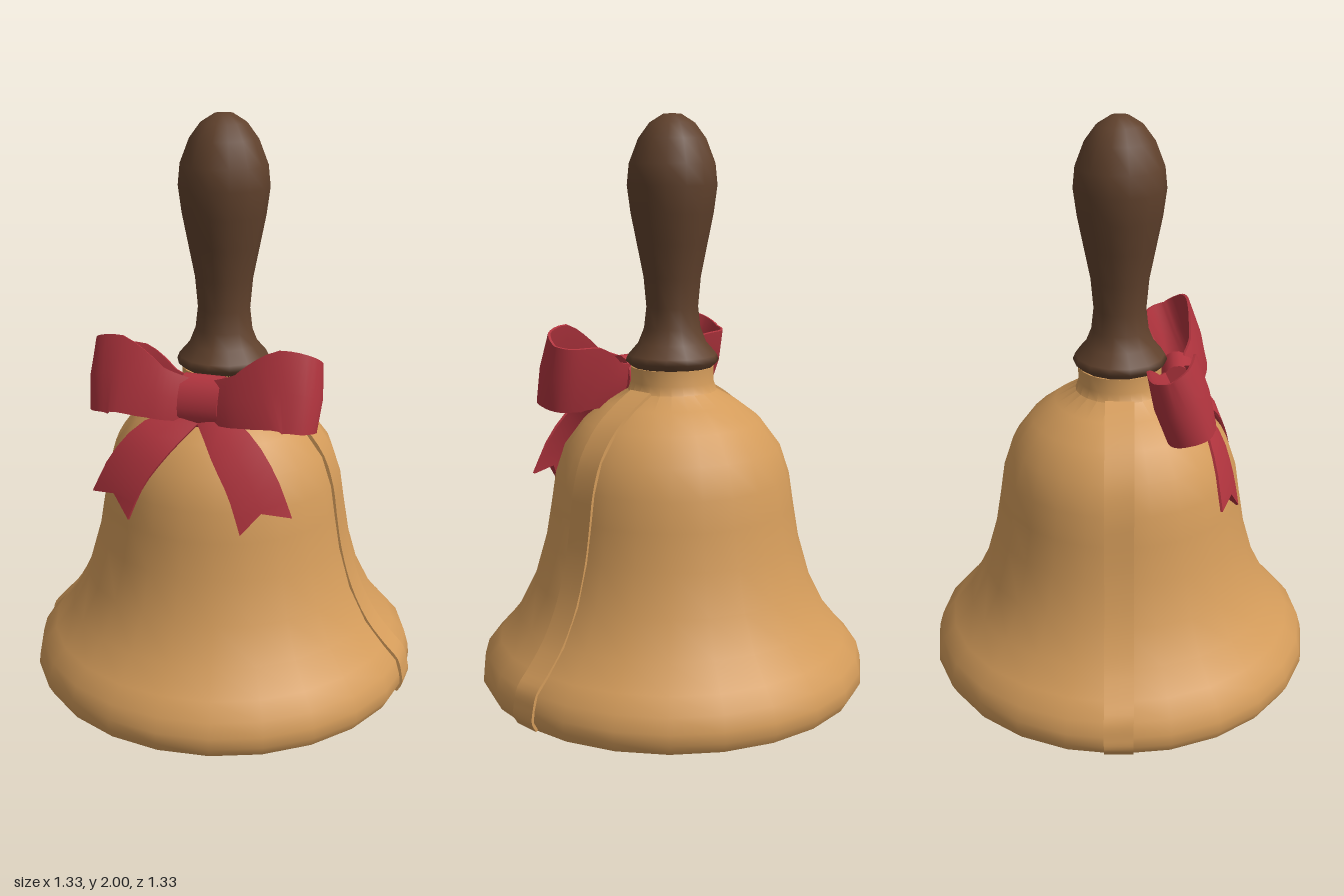
import * as THREE from 'three';
import { toCreasedNormals } from 'three/addons/utils/BufferGeometryUtils.js';

const V2 = (x, y) => new THREE.Vector2(x, y);

// Solid ribbon along a smooth path; rows are [x, y, z, halfWidth].
// edge thins the two borders, notch cuts a V in the end.
function ribbon(rows, across, { thick = 0.028, edge = 0.3, steps = 28, notch = 0 } = {}) {
  const curve = new THREE.CatmullRomCurve3(rows.map(r => new THREE.Vector3(r[0], r[1], r[2])));
  const pos = [], idx = [];
  const last = rows.length - 1;
  for (let i = 0; i <= steps; i++) {
    const t = i / steps, k = Math.min(Math.floor(t * last), last - 1);
    const half = THREE.MathUtils.lerp(rows[k][3], rows[k + 1][3], t * last - k);
    const p = curve.getPoint(t), tan = curve.getTangent(t);
    const w = across.clone().addScaledVector(tan, -across.dot(tan)).normalize();
    const n = tan.clone().cross(w).multiplyScalar(thick / 2);
    const mid = p.clone();
    if (i === steps) mid.addScaledVector(tan, -notch);
    const left = p.clone().addScaledVector(w, -half), right = p.clone().addScaledVector(w, half);
    const ring = [[left, edge], [mid, 1], [right, edge], [right, -edge], [mid, -1], [left, -edge]];
    ring.forEach(([q, s]) => pos.push(...q.clone().addScaledVector(n, s).toArray()));
    if (i > 0) {
      for (let j = 0; j < 6; j++) {
        const a = (i - 1) * 6 + j, b = (i - 1) * 6 + (j + 1) % 6;
        idx.push(a, b, a + 6, b, b + 6, a + 6);
      }
    }
  }
  const e = steps * 6;
  idx.push(0, 5, 1, 1, 5, 4, 1, 4, 2, 2, 4, 3);
  idx.push(e, e + 1, e + 5, e + 1, e + 4, e + 5, e + 1, e + 2, e + 4, e + 2, e + 3, e + 4);
  const g = new THREE.BufferGeometry();
  g.setAttribute('position', new THREE.Float32BufferAttribute(pos, 3));
  g.setIndex(idx);
  return toCreasedNormals(g, 0.7);
}

export function createModel() {
  const model = new THREE.Group();
  model.name = 'handBell';

  const material = (name, color, side = THREE.FrontSide) => {
    const m = new THREE.MeshStandardMaterial({ color, side });
    m.name = name;
    return m;
  };
  const brass = material('brass', 0xd39b5a, THREE.DoubleSide);
  const wood = material('darkWood', 0x60412c);
  const red = material('redRibbon', 0xb1343e, THREE.DoubleSide);

  const add = (parent, name, geometry, mat, x = 0, y = 0, z = 0) => {
    const m = new THREE.Mesh(geometry, mat);
    m.name = name;
    m.position.set(x, y, z);
    parent.add(m);
  };

  // Bell: inner wall down, across the rim, outer wall up to the neck
  const outer = [
    [0.664, 0.105], [0.66, 0.14], [0.646, 0.19], [0.6, 0.24], [0.535, 0.32], [0.475, 0.44],
    [0.435, 0.58], [0.415, 0.7], [0.4, 0.8], [0.367, 0.9], [0.3, 0.99], [0.22, 1.05], [0.15, 1.09],
  ];
  const inner = [
    [0.001, 1.04], [0.2, 1.01], [0.315, 0.91], [0.362, 0.78], [0.398, 0.58], [0.437, 0.43],
    [0.5, 0.3], [0.575, 0.19], [0.598, 0.11], [0.602, 0.08],
  ];
  const profile = [...inner, [0.612, 0.07], [0.645, 0.07], ...outer,
    [0.14, 1.12], [0.14, 1.17], [0.001, 1.17]].map(p => V2(...p));
  add(model, 'bellBody', toCreasedNormals(new THREE.LatheGeometry(profile, 24), 0.75), brass);

  // Nearly flush seam on each side of the bell
  for (const s of [1, -1]) {
    const path = [[0.648, 0.075], ...outer].map(([r, y]) => [s * (r - 0.008), y, 0, 0.048]);
    add(model, s > 0 ? 'leftSeam' : 'rightSeam',
      ribbon(path, new THREE.Vector3(0, 0, 1), { thick: 0.02, edge: 1, steps: 39 }), brass);
  }

  // Clapper
  add(model, 'clapperBall', new THREE.SphereGeometry(0.12, 20, 14), brass, 0.02, 0.12, -0.015);

  // Handle with flared foot
  const grip = [
    [0.001, 1.155], [0.125, 1.16], [0.158, 1.19], [0.15, 1.21], [0.115, 1.25], [0.095, 1.3],
    [0.087, 1.37], [0.096, 1.47], [0.118, 1.58], [0.138, 1.68], [0.15, 1.77], [0.143, 1.84],
    [0.112, 1.92], [0.075, 1.97], [0.03, 1.998], [0.001, 2.0],
  ].map(p => V2(...p));
  add(model, 'handle', new THREE.LatheGeometry(grip, 14), wood);

  // Bow knot and loops, leaning back against the bell
  const bow = new THREE.Group();
  bow.name = 'bow';
  bow.position.set(0, 1.105, 0.203);
  bow.rotation.x = -0.28;
  model.add(bow);
  const knot = new THREE.CylinderGeometry(1, 1, 0.135, 20).rotateZ(Math.PI / 2).scale(1, 0.088, 0.062);
  add(bow, 'knot', knot, red);

  const loop = [
    [0.04, 0, 0.03, 0.07], [0.14, 0.015, 0.07, 0.085], [0.28, 0.06, 0.085, 0.13],
    [0.36, 0.055, 0.055, 0.122], [0.38, 0.05, 0, 0.11], [0.355, 0.052, -0.05, 0.112],
    [0.26, 0.052, -0.07, 0.115], [0.14, 0.015, -0.055, 0.08], [0.04, 0, -0.03, 0.065],
  ];
  const tail = [
    [0.03, 1.07, 0.235, 0.045], [0.14, 0.985, 0.308, 0.078],
    [0.215, 0.885, 0.342, 0.083], [0.266, 0.768, 0.362, 0.087],
  ];
  for (const s of [1, -1]) {
    const side = s > 0 ? 'left' : 'right';
    const flip = rows => rows.map(([x, y, z, h]) => [s * x, y, z, h]);
    add(bow, side + 'Loop', ribbon(flip(loop), new THREE.Vector3(0, 1, 0), { steps: 40 }), red);
    add(model, side + 'Tail', ribbon(flip(tail), new THREE.Vector3(s * 0.8, 0.5, -0.4),
      { steps: 7, notch: 0.045 }), red);
  }

  return model;
}
